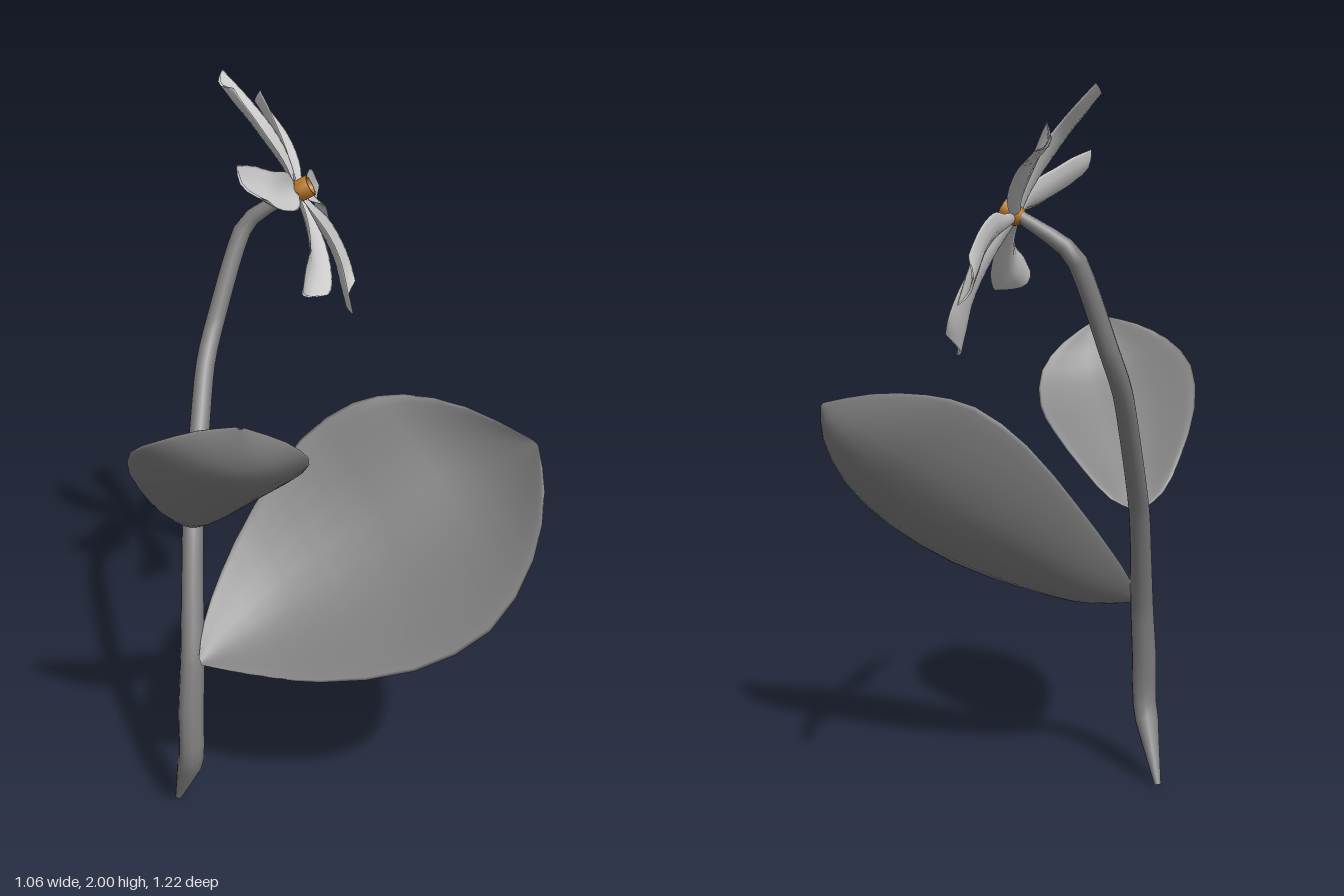
import * as THREE from 'three';

const V = (a) => new THREE.Vector3(...a);
const material = (color) => new THREE.MeshStandardMaterial({ color, side: THREE.DoubleSide });
const green = material(0x808080), white = material(0xcccccc), orange = material(0xb87828);

// Smooth edge curve through a few points
const smooth = (pts, n) => new THREE.CatmullRomCurve3(pts).getPoints(n);

// Fleshy blade between two edge curves: lens-shaped loops, cupped away from the inner normal
function blade(name, mat, left, right, normal, cup, thickness, rows, sides) {
  const pos = [], index = [];
  const l = smooth(left, rows), r = smooth(right, rows);
  for (let i = 0; i <= rows; i++) {
    const width = l[i].distanceTo(r[i]);
    const half = 0.5 * thickness * Math.min(1, width / (6 * thickness));
    for (let j = 0; j < sides; j++) {
      const a = (j / sides) * Math.PI * 2, s = (1 - Math.cos(a)) / 2;
      const p = l[i].clone().lerp(r[i], s)
        .addScaledVector(normal, half * Math.sin(a) - cup * width * Math.sin(Math.PI * s));
      pos.push(p.x, p.y, p.z);
      if (i) {
        const d = i * sides + j, e = i * sides + (j + 1) % sides;
        index.push(d - sides, d, e - sides, e - sides, d, e);
      }
    }
  }
  const geo = new THREE.BufferGeometry();
  geo.setAttribute('position', new THREE.Float32BufferAttribute(pos, 3));
  geo.setIndex(index);
  geo.computeVertexNormals();
  const mesh = new THREE.Mesh(geo, mat);
  mesh.name = name;
  return mesh;
}

// Tube whose radius follows a list of values along its length
function stem() {
  const curve = new THREE.CatmullRomCurve3([
    [-0.37, 0, 0.008], [-0.372, 0.21, 0.118], [-0.368, 0.35, 0.116], [-0.345, 0.53, 0.085], [-0.28, 0.85, -0.04],
    [-0.145, 1.2, -0.25], [-0.08, 1.33, -0.31], [0.03, 1.58, -0.345], [0.155, 1.682, -0.27],
  ].map(V), false, 'catmullrom', 0.3);
  const radii = [0.01, 0.036, 0.037, 0.034, 0.031, 0.03, 0.029, 0.028, 0.027, 0.026, 0.016];
  const rings = 40, sides = 10;
  const geo = new THREE.TubeGeometry(curve, rings, 1, sides);
  const pos = geo.attributes.position, v = new THREE.Vector3();
  for (let i = 0; i <= rings; i++) {
    const centre = curve.getPointAt(i / rings);
    const f = (i / rings) * (radii.length - 1), k = Math.min(Math.floor(f), radii.length - 2);
    const r = THREE.MathUtils.lerp(radii[k], radii[k + 1], f - k);
    for (let j = 0; j <= sides; j++) {
      const n = i * (sides + 1) + j;
      v.fromBufferAttribute(pos, n).sub(centre).multiplyScalar(r).add(centre);
      pos.setXYZ(n, v.x, v.y, v.z);
    }
  }
  const mesh = new THREE.Mesh(geo, green);
  mesh.name = 'stem';
  return mesh;
}

function flower() {
  const group = new THREE.Group();
  group.name = 'flower';
  const axis = V([0.735, 0.484, 0.472]).normalize();
  const centre = V([0.16, 1.682, -0.264]);

  // Six swirling petals, each reaching to its own tip
  const tips = [[0, 2, -0.41], [0.225, 1.84, -0.61], [0.385, 1.485, -0.515],
    [0.295, 1.325, -0.19], [0.015, 1.515, 0.045], [-0.125, 1.84, -0.05]].map(V);
  // Petal outline as fractions of its length: [across, along, lift] of each edge
  const leftEdge = [[-0.05, 0.04, 0], [-0.11, 0.18, 0.04], [-0.21, 0.32, 0.07], [-0.28, 0.48, 0.08],
    [-0.31, 0.64, 0.08], [-0.31, 0.77, 0.07], [-0.26, 0.86, 0.06]];
  const rightEdge = [[0.05, 0.04, 0], [0.06, 0.18, 0.04], [0.05, 0.32, 0.07], [0.02, 0.48, 0.08],
    [0, 0.63, 0.07], [0.02, 0.8, 0.04], [0.01, 1, 0]];
  tips.forEach((tip, i) => {
    const along = tip.clone().sub(centre);
    const across = new THREE.Vector3().crossVectors(along, axis);
    const edge = (pts) => pts.map(([u, t, lift]) => centre.clone()
      .addScaledVector(across, u).addScaledVector(along, t).addScaledVector(axis, lift * along.length()));
    group.add(blade('petal' + (i + 1), white, edge(leftEdge), edge(rightEdge), axis, 0.22, 0.006, 12, 14));
  });

  // Hollow flower centre
  const ring = new THREE.Mesh(new THREE.LatheGeometry(
    [[0.016, -0.025], [0.031, -0.005], [0.031, 0.034], [0.023, 0.034], [0.018, 0.005], [0, 0]]
      .map(([r, y]) => new THREE.Vector2(r, y)), 12), orange);
  ring.name = 'flowerCentre';
  ring.position.copy(centre);
  ring.quaternion.setFromUnitVectors(new THREE.Vector3(0, 1, 0), axis);
  group.add(ring);
  return group;
}

export function createModel() {
  const model = new THREE.Group();
  model.name = 'floweringPlant';

  // Large lower leaf
  const bigUpper = [[-0.345, 0.54, 0.13], [-0.305, 0.61, 0.075], [-0.22, 0.72, 0.01], [-0.1, 0.87, -0.035], [0.05, 1.05, -0.035],
    [0.18, 1.155, 0.02], [0.3, 1.185, 0.09], [0.42, 1.175, 0.22], [0.52, 1.13, 0.4]].map(V);
  const bigLower = [[-0.345, 0.525, 0.145], [-0.285, 0.52, 0.2], [-0.2, 0.52, 0.28], [-0.1, 0.535, 0.38], [0.1, 0.6, 0.53],
    [0.28, 0.715, 0.605], [0.43, 0.87, 0.565], [0.505, 1.02, 0.49], [0.525, 1.12, 0.42]].map(V);
  model.add(blade('largeLeaf', green, bigUpper, bigLower, V([-0.48, 0.46, 0.42]).normalize(), 0.18, 0.045, 16, 28));

  // Small upper leaf
  const smallLeft = [[-0.29, 0.85, -0.05], [-0.35, 0.895, -0.05], [-0.42, 0.98, -0.005], [-0.5, 1.11, 0.075],
    [-0.53, 1.22, 0.17], [-0.5, 1.29, 0.28], [-0.43, 1.33, 0.35], [-0.35, 1.35, 0.41]].map(V);
  const smallRight = [[-0.26, 0.85, -0.05], [-0.2, 0.88, -0.025], [-0.15, 0.95, 0.06], [-0.1, 1.05, 0.18],
    [-0.09, 1.11, 0.26], [-0.13, 1.2, 0.36], [-0.21, 1.275, 0.4], [-0.33, 1.345, 0.415]].map(V);
  model.add(blade('smallLeaf', green, smallLeft, smallRight, V([0.075, 0.18, -0.19]).normalize(), 0.17, 0.035, 14, 24));

  model.add(stem(), flower());
  return model;
}
